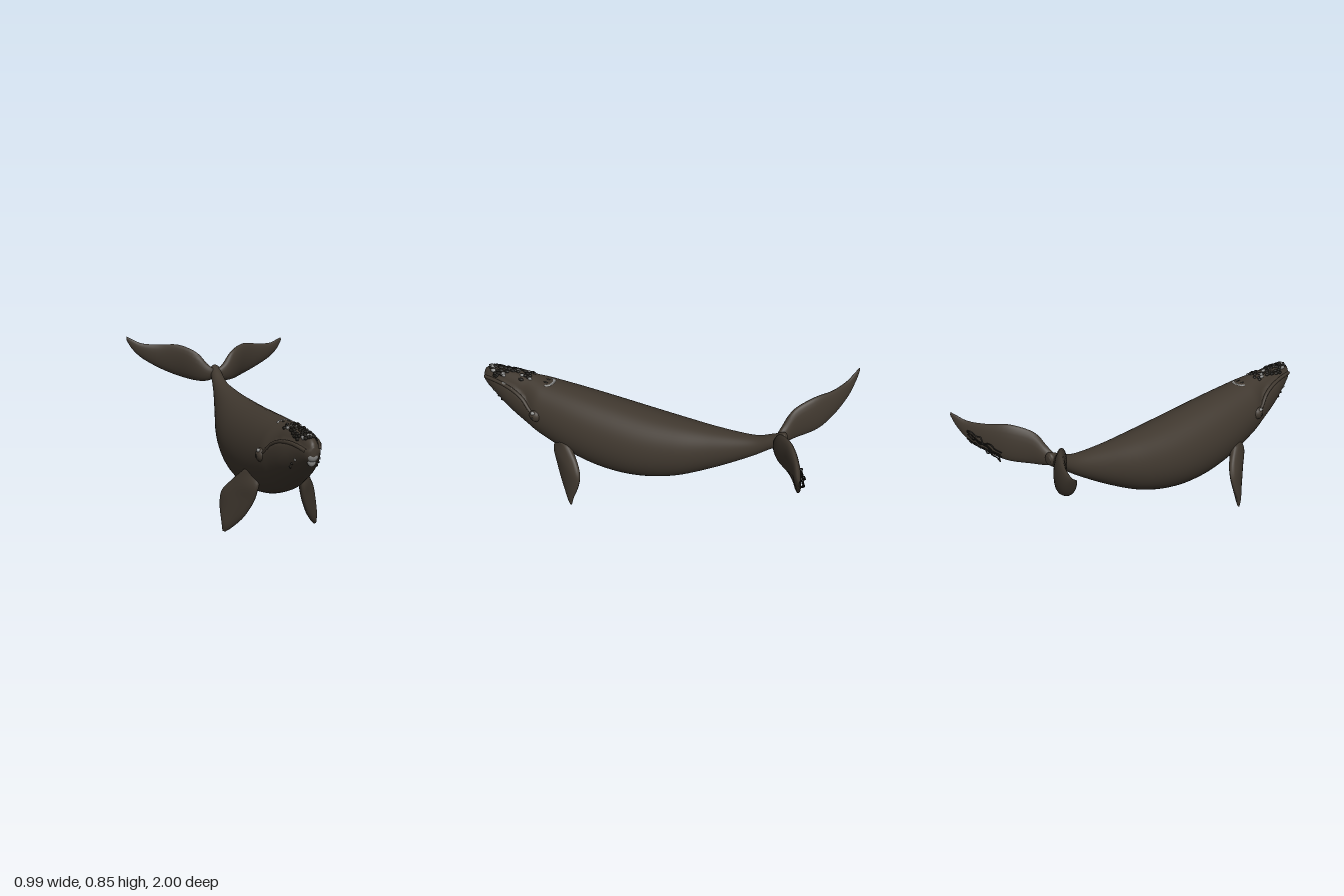
import * as THREE from 'three';

const V = (x, y, z) => new THREE.Vector3(x, y, z);
const mat = (name, color, side = THREE.FrontSide) => {
  const m = new THREE.MeshStandardMaterial({ color, side });
  m.name = name;
  return m;
};
const { smoothstep, lerp } = THREE.MathUtils;

// Closed smooth skin over rings of equal length; faces are turned outward.
function loft(rings) {
  const n = rings[0].length, pos = [], idx = [];
  rings.forEach(r => r.forEach(p => pos.push(p.x, p.y, p.z)));
  for (let i = 0; i < rings.length - 1; i++)
    for (let j = 0; j < n; j++) {
      const a = i * n + j, b = i * n + (j + 1) % n;
      idx.push(a, b, a + n, b, b + n, a + n);
    }
  [0, rings.length - 1].forEach((r, end) => {
    const c = V(0, 0, 0);
    rings[r].forEach(p => c.addScaledVector(p, 1 / n));
    const ci = pos.length / 3;
    pos.push(c.x, c.y, c.z);
    for (let j = 0; j < n; j++) {
      const a = r * n + j, b = r * n + (j + 1) % n;
      end ? idx.push(a, b, ci) : idx.push(b, a, ci);
    }
  });
  const at = i => V(pos[3 * i], pos[3 * i + 1], pos[3 * i + 2]);
  let vol = 0;
  for (let i = 0; i < idx.length; i += 3) vol += at(idx[i]).dot(at(idx[i + 1]).cross(at(idx[i + 2])));
  if (vol < 0) idx.reverse();
  const g = new THREE.BufferGeometry();
  g.setAttribute('position', new THREE.Float32BufferAttribute(pos, 3));
  g.setIndex(idx);
  g.computeVertexNormals();
  return g;
}

// Fin skin between a leading and a trailing edge, with elliptical sections.
function blade(lead, trail, thick) {
  const A = new THREE.CatmullRomCurve3(lead, false, 'catmullrom');
  const B = new THREE.CatmullRomCurve3(trail, false, 'catmullrom');
  const T = new THREE.CatmullRomCurve3(thick.map(t => V(t, 0, 0)), false, 'catmullrom');
  const mid = t => A.getPoint(t).add(B.getPoint(t)).multiplyScalar(0.5);
  const rings = [];
  for (let i = 0; i <= 32; i++) {
    const t = i / 32, c = mid(t), half = A.getPoint(t).sub(c);
    const span = mid(Math.min(1, t + 0.02)).sub(mid(Math.max(0, t - 0.02)));
    const nrm = span.cross(half).normalize().multiplyScalar(T.getPoint(t).x / 2);
    rings.push(Array.from({ length: 20 }, (_, j) => {
      const a = j / 20 * Math.PI * 2;
      return c.clone().addScaledVector(half, Math.cos(a)).addScaledVector(nrm, Math.sin(a));
    }));
  }
  return loft(rings);
}

// Body profile: z, top, bottom, half width
const profile = [
  [0.998, 0.57, 0.53, 0.012], [0.985, 0.595, 0.505, 0.03], [0.95, 0.615, 0.478, 0.05],
  [0.88, 0.623, 0.425, 0.075], [0.8, 0.625, 0.372, 0.1], [0.7, 0.625, 0.315, 0.122],
  [0.6, 0.617, 0.265, 0.142], [0.4, 0.608, 0.2, 0.167], [0.2, 0.598, 0.172, 0.178],
  [0, 0.59, 0.188, 0.173], [-0.2, 0.59, 0.25, 0.145], [-0.4, 0.598, 0.36, 0.098],
  [-0.6, 0.62, 0.495, 0.052], [-0.7, 0.662, 0.575, 0.036], [-0.76, 0.692, 0.615, 0.032],
  [-0.78, 0.677, 0.635, 0.02]];
const heights = new THREE.CatmullRomCurve3(profile.map(p => V(p[0], p[1], p[2])), false, 'catmullrom');
const widths = new THREE.CatmullRomCurve3(profile.map(p => V(p[3], 0, 0)), false, 'catmullrom');
const section = t => {
  const p = heights.getPoint(t);
  return { z: p.x, mid: (p.y + p.z) / 2, h: (p.y - p.z) / 2, w: widths.getPoint(t).x };
};
const sectionAt = z => {
  let lo = 0, hi = 1;
  for (let i = 0; i < 30; i++) {
    const m = (lo + hi) / 2;
    if (heights.getPoint(m).x > z) lo = m; else hi = m;
  }
  return section(lo);
};
const sideX = (z, y) => {
  const s = sectionAt(z);
  return s.w * Math.sqrt(Math.max(0, 1 - ((y - s.mid) / s.h) ** 2));
};

// Height of the arched mouth line
const mouth = [[0.6, 0.45], [0.65, 0.485], [0.7, 0.53], [0.76, 0.555], [0.84, 0.568], [0.92, 0.568], [0.98, 0.555]];
const mouthY = z => {
  let i = 0;
  while (i < mouth.length - 2 && z > mouth[i + 1][0]) i++;
  const [a, b] = [mouth[i], mouth[i + 1]];
  return lerp(a[1], b[1], Math.min(1, Math.max(0, (z - a[0]) / (b[0] - a[0]))));
};

function bodyGeometry() {
  const rings = [];
  for (let i = 0; i <= 120; i++) {
    const s = section(i / 120);
    rings.push(Array.from({ length: 56 }, (_, j) => {
      const a = j / 56 * Math.PI * 2, y = s.mid + s.h * Math.sin(a), m = mouthY(s.z);
      // narrow upper jaw above the mouth line
      const pinch = 0.2 * smoothstep(s.z, 0.6, 0.72) * smoothstep(y, m - 0.004, m + 0.016);
      return V(s.w * Math.cos(a) * (1 - pinch), y, s.z);
    }));
  }
  return loft(rings);
}

export function createModel() {
  const skin = mat('dark brown skin', 0x40382f);
  const dark = mat('blackish growth', 0x1c1a16);
  const grey = mat('pale grey growth', 0x8f8f8d);
  const model = new THREE.Group();
  model.name = 'whale';
  const add = (name, geo, m, p, scale) => {
    const mesh = new THREE.Mesh(geo, m);
    mesh.name = name;
    if (p) mesh.position.copy(p);
    if (scale) mesh.scale.copy(scale);
    model.add(mesh);
    return mesh;
  };
  const ball = new THREE.SphereGeometry(1, 20, 14);
  const pebble = new THREE.SphereGeometry(1, 8, 6);
  let seed = 7;
  const rnd = () => (seed = (seed * 16807) % 2147483647) / 2147483647;

  add('body', bodyGeometry(), skin);

  for (const s of [1, -1]) {
    const side = s > 0 ? 'left' : 'right';
    // Tail flukes, swept up and back, the right one raised at its tip
    const lift = x => s < 0 ? 0.04 * (x / 0.49) ** 2 : 0;
    const edge = pts => pts.map(([x, y, z]) => V(s * x, y + lift(x), z));
    add(side + 'Fluke', blade(
      edge([[0.01, 0.67, -0.735], [0.05, 0.7, -0.745], [0.11, 0.767, -0.775], [0.2, 0.802, -0.85], [0.3, 0.79, -0.915], [0.4, 0.783, -0.957], [0.46, 0.8, -0.982], [0.49, 0.811, -0.994]]),
      edge([[0.01, 0.615, -0.75], [0.05, 0.598, -0.755], [0.11, 0.595, -0.79], [0.2, 0.61, -0.875], [0.3, 0.643, -0.93], [0.4, 0.69, -0.968], [0.46, 0.74, -0.985], [0.492, 0.79, -0.995]]),
      [0.04, 0.05, 0.058, 0.056, 0.045, 0.032, 0.02, 0.008]), skin);

    // Flippers
    const fin = pts => pts.map(([x, y, z]) => V(s * x, y, z));
    add(side + 'Flipper', blade(
      fin([[0.09, 0.34, 0.49], [0.115, 0.27, 0.51], [0.13, 0.19, 0.488], [0.168, 0.1, 0.44], [0.212, 0.035, 0.385], [0.24, 0.005, 0.355]]),
      fin([[0.15, 0.34, 0.4], [0.2, 0.265, 0.325], [0.243, 0.205, 0.29], [0.256, 0.13, 0.303], [0.256, 0.06, 0.332], [0.254, 0.008, 0.343]]),
      [0.06, 0.06, 0.055, 0.045, 0.033, 0.012]), skin);

    // Lip ridge along the mouth
    const lip = mouth.map(([z, y]) => V(s * sideX(z, y) * 0.95, y, z));
    add(side + 'Lip', new THREE.TubeGeometry(new THREE.CatmullRomCurve3(lip), 40, 0.01, 8), skin);

    // Eye bulge with its brow patch
    add(side + 'EyeBulge', ball, skin, V(s * 0.127, 0.46, 0.61), V(0.032, 0.036, 0.037));
    add(side + 'EyePatch', pebble, grey, V(s * 0.147, 0.485, 0.617), V(0.01, 0.01, 0.014));
    add(side + 'Eye', pebble, dark, V(s * 0.154, 0.458, 0.615), V(0.008, 0.009, 0.01));

    // Small chin bumps
    [[0.91, 0.5], [0.88, 0.475], [0.86, 0.455]].forEach(([z, y], i) =>
      add(side + 'ChinBump', pebble, i ? dark : grey, V(s * sideX(z, y), y, z), V(0.006, 0.007, 0.007)));
  }
  // Pale patch on the left lip
  for (let i = 0; i < 6; i++) {
    const z = 0.78 + i * 0.012, y = mouthY(z) + 0.004;
    add('lipPatch', pebble, grey, V(sideX(z, y) * 0.96, y, z), V(0.009, 0.007, 0.01));
  }

  // Rough growth on top of the head
  for (let i = 0; i < 90; i++) {
    const z = 0.69 + rnd() * 0.265;
    const half = 0.045 * Math.min(1, (0.985 - z) / 0.08, (z - 0.63) / 0.08);
    const x = (rnd() * 2 - 1) * half, c = sectionAt(z);
    const y = c.mid + c.h * Math.sqrt(Math.max(0, 1 - (x / (c.w * 0.8)) ** 2));
    add('headGrowth', pebble, i % 6 ? dark : grey, V(x, Math.min(y, 0.627), z),
      V(0.007 + rnd() * 0.004, 0.009, 0.011 + rnd() * 0.008));
  }

  // Pale growth at the snout tip
  add('snoutGrowth', ball, grey, V(0, 0.535, 0.976), V(0.029, 0.034, 0.022));
  add('snoutGrowth', ball, grey, V(0, 0.505, 0.968), V(0.022, 0.028, 0.016));

  // Pale growth behind the blowhole
  for (let i = 0; i < 14; i++) {
    const a = i / 13 * Math.PI, x = 0.036 * Math.cos(a);
    add('blowholeGrowth', pebble, grey, V(x, 0.611 - x * x * 4, 0.588 - 0.028 * Math.sin(a)), V(0.008, 0.007, 0.011));
  }
  for (const s of [1, -1])
    add('blowhole', pebble, dark, V(s * 0.015, 0.614, 0.6), V(0.006, 0.005, 0.016));

  // Tangled strands on the back of the left fluke
  for (let k = 0; k < 5; k++) {
    const pts = [];
    for (let i = 0; i <= 8; i++) {
      const t = i / 8, x = 0.2 + 0.17 * t;
      pts.push(V(x, 0.615 + 0.085 * t + k * 0.013 + (rnd() - 0.5) * 0.025,
        lerp(-0.915, -0.984, t) + (rnd() - 0.5) * 0.016));
    }
    add('flukeStrand', new THREE.TubeGeometry(new THREE.CatmullRomCurve3(pts), 40, 0.0035, 5), dark);
  }
  return model;
}
